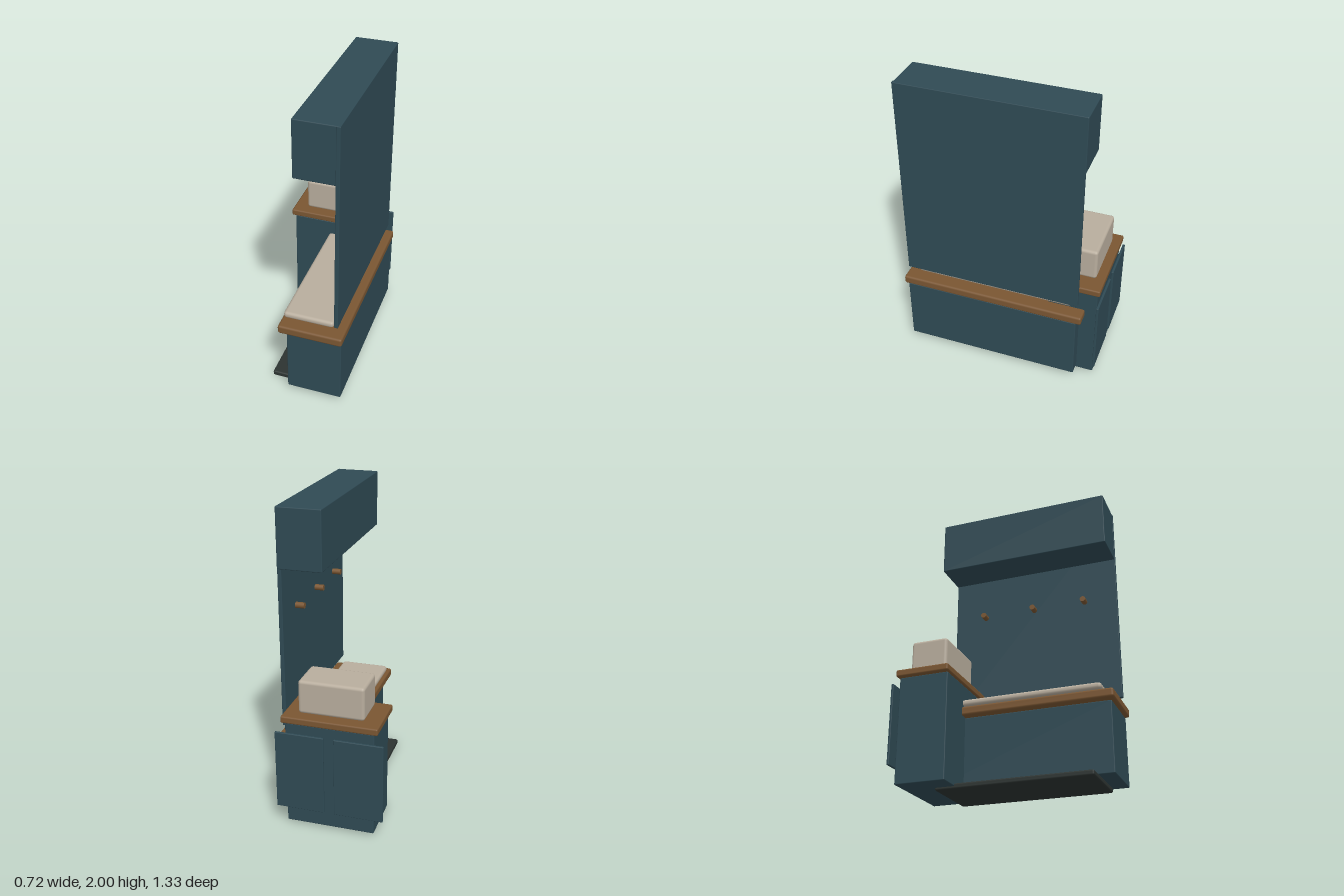
import * as THREE from 'three';
import { RoundedBoxGeometry } from 'three/addons/geometries/RoundedBoxGeometry.js';

const paint = (name, color) => {
  const m = new THREE.MeshStandardMaterial({ color });
  m.name = name;
  return m;
};

export function createModel() {
  const teal = paint('tealPaint', 0x2f4a54);
  const wood = paint('oiledWood', 0x7a5632);
  const linen = paint('linen', 0xb8ad9d);
  const dark = paint('darkRubber', 0x2c3331);

  const group = new THREE.Group();
  group.name = 'hallBench';

  // Softened block given by its [min, max] on each axis
  const block = (name, material, [x0, x1], [y0, y1], [z0, z1], radius) => {
    const geo = new RoundedBoxGeometry(x1 - x0, y1 - y0, z1 - z0, 2, radius);
    const mesh = new THREE.Mesh(geo, material);
    mesh.position.set((x0 + x1) / 2, (y0 + y1) / 2, (z0 + z1) / 2);
    mesh.name = name;
    group.add(mesh);
  };

  // Floor mat
  block('floorMat', dark, [-0.15, 0.285], [0, 0.034], [-0.445, 0.55], 0.01);

  // Bench with wooden seat and cushion
  block('benchBase', teal, [-0.01, 0.348], [0.04, 0.492], [-0.53, 0.64], 0.006);
  block('benchSeat', wood, [-0.062, 0.357], [0.494, 0.552], [-0.565, 0.665], 0.014);
  block('seatCushion', linen, [-0.05, 0.28], [0.56, 0.604], [-0.475, 0.588], 0.02);

  // Back panel and overhead cabinet
  block('backPanel', teal, [0.3, 0.325], [0.62, 2], [-0.53, 0.64], 0.004);
  block('overheadCabinet', teal, [0.048, 0.325], [1.632, 2], [-0.535, 0.637], 0.006);

  // Coat pegs
  const pegGeo = new THREE.CylinderGeometry(0.019, 0.019, 0.06, 16).rotateZ(Math.PI / 2);
  for (const z of [-0.305, 0.055, 0.415]) {
    const peg = new THREE.Mesh(pegGeo, wood);
    peg.position.set(0.273, 1.34, z);
    peg.name = 'coatPeg';
    group.add(peg);
  }

  // Side cabinet with counter and storage box
  block('sideCabinet', teal, [-0.297, 0.265], [0.016, 0.702], [-0.642, -0.315], 0.006);
  block('counter', wood, [-0.322, 0.288], [0.705, 0.75], [-0.66, -0.305], 0.01);
  block('storageBox', linen, [-0.226, 0.19], [0.76, 0.975], [-0.607, -0.36], 0.02);

  // Pair of cabinet doors on the back face
  for (const [name, x] of [['rightDoor', -0.36], ['leftDoor', 0.015]]) {
    block(name, teal, [x, x + 0.31], [0.124, 0.642], [-0.667, -0.651], 0.004);
  }

  return group;
}
